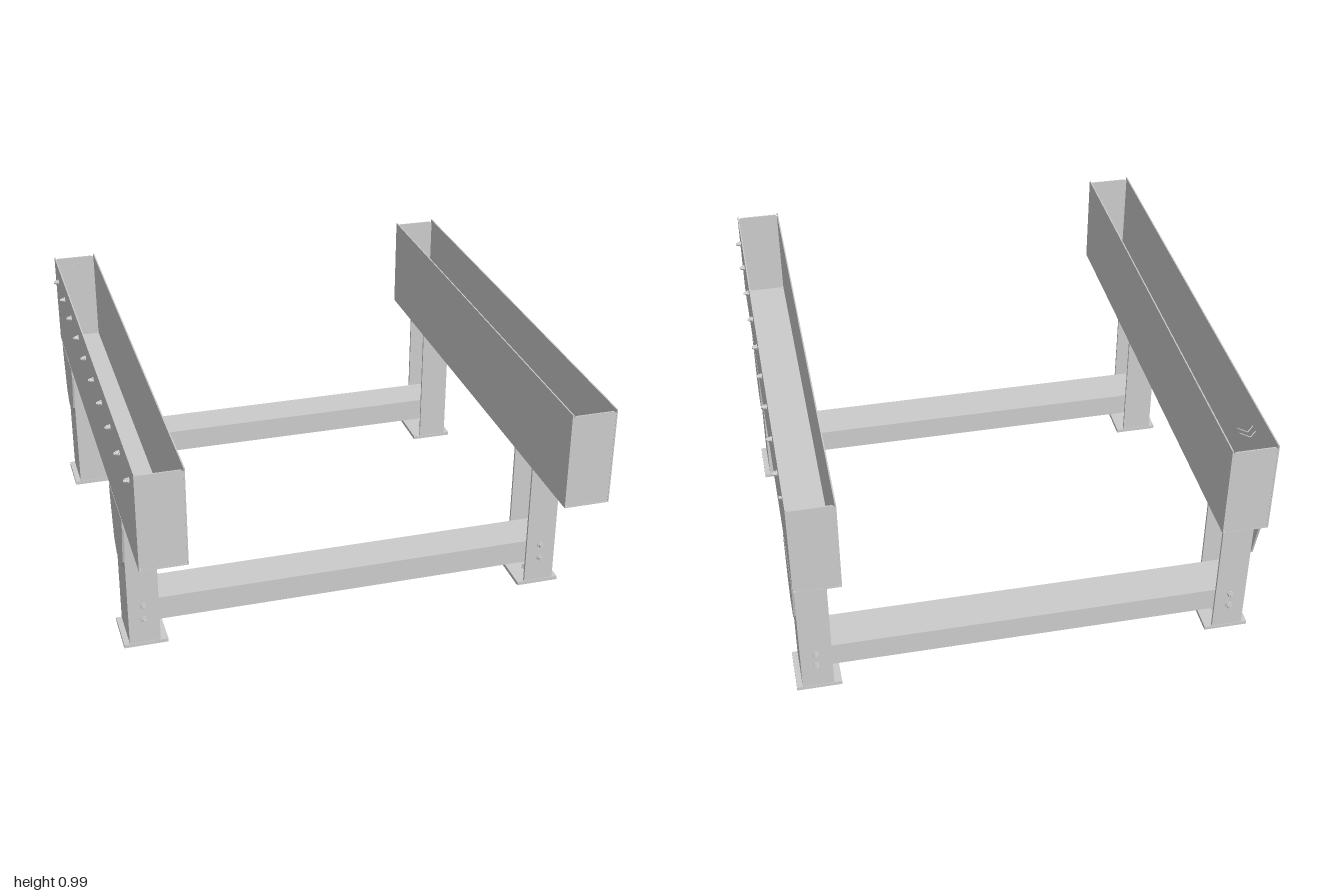
import * as THREE from 'three';

const steel = new THREE.MeshStandardMaterial({ color: 0xcccccc, flatShading: true, side: THREE.DoubleSide });

function add(parent, name, geometry, x = 0, y = 0, z = 0) {
  const mesh = new THREE.Mesh(geometry, steel);
  mesh.name = name;
  mesh.position.set(x, y, z);
  parent.add(mesh);
  return mesh;
}

// Box given by its minimum and maximum corners
function block(parent, name, [x0, y0, z0], [x1, y1, z1]) {
  return add(parent, name, new THREE.BoxGeometry(x1 - x0, y1 - y0, z1 - z0),
    (x0 + x1) / 2, (y0 + y1) / 2, (z0 + z1) / 2);
}

// Outline extruded along z, centred on z = 0
function prism(points, depth) {
  const shape = new THREE.Shape(points.map(([x, y]) => new THREE.Vector2(x, y)));
  const geometry = new THREE.ExtrudeGeometry(shape, { depth, bevelEnabled: false });
  return geometry.translate(0, 0, -depth / 2);
}

// Hex-headed bolt on a washer, pointing along +y from its seat
function bolt(parent, name, radius = 0.009) {
  const group = new THREE.Group();
  group.name = name;
  add(group, 'washer', new THREE.CylinderGeometry(radius * 1.25, radius * 1.25, 0.005, 16), 0, 0.0025, 0);
  add(group, 'boltHead', new THREE.CylinderGeometry(radius, radius, 0.01, 6), 0, 0.01, 0);
  add(group, 'boltTip', new THREE.CylinderGeometry(radius * 0.6, radius * 0.6, 0.006, 12), 0, 0.018, 0);
  parent.add(group);
  return group;
}

// Sheet metal trough, open at the top; side is +1 (left) or -1 (right)
function makeTrough(side) {
  const trough = new THREE.Group();
  trough.name = side > 0 ? 'leftTrough' : 'rightTrough';
  const w = 0.088, t = 0.005, bottom = 0.605, top = 0.992;
  const profile = [[-w, top], [-w, bottom], [w, bottom], [w, top],
    [w - t, top], [w - t, bottom + t], [-w + t, bottom + t], [-w + t, top]];
  add(trough, 'troughChannel', prism(profile, 2), side * 0.795);

  // End panels with slightly rounded corners
  const r = 0.008, hw = w - t, y0 = bottom + t, y1 = 0.985;
  const panel = [[-hw + r, y0], [hw - r, y0], [hw, y0 + r], [hw, y1 - r],
    [hw - r, y1], [-hw + r, y1], [-hw, y1 - r], [-hw, y0 + r]];
  for (const end of [-1, 1]) add(trough, 'endPanel', prism(panel, t), side * 0.795, 0, end * 0.9965);

  // Row of bolts along the outer wall
  for (let i = 0; i < (side > 0 ? 9 : 10); i++) {
    const b = bolt(trough, 'wallBolt');
    b.position.set(side * 0.883, 0.915, 0.9 - i * 0.2);
    b.rotation.z = -side * Math.PI / 2;
  }
  return trough;
}

// Leg, built for +x and a bolted flange facing +z, about z = 0
function makeLeg() {
  const leg = new THREE.Group();
  const d = 0.094, t = 0.01;
  // Channel opening towards the middle of the frame
  const profile = [[0.755, -d], [0.876, -d], [0.876, d], [0.755, d],
    [0.755, d - t], [0.876 - t, d - t], [0.876 - t, -d + t], [0.755, -d + t]];
  const channel = prism(profile, 0.585);
  channel.rotateX(-Math.PI / 2);
  add(leg, 'legChannel', channel, 0, 0.3075, 0);
  block(leg, 'topPlate', [0.76, 0.59, -d + t], [0.867, 0.6, d - t]);
  block(leg, 'footPlate', [0.725, 0, -0.096], [0.898, 0.015, 0.096]);
  bolt(leg, 'footBolt', 0.013).position.set(0.8, 0.015, 0);

  // Flared plate on the outer face
  const plate = prism([[-0.14, 0.603], [-0.14, 0.56], [-0.095, 0.39], [-0.05, 0.345],
    [0.05, 0.345], [0.095, 0.39], [0.14, 0.56], [0.14, 0.603]], 0.008);
  plate.rotateY(Math.PI / 2);
  add(leg, 'flaredPlate', plate, 0.88, 0, 0);

  for (const y of [0.12, 0.18]) {
    const b = bolt(leg, 'flangeBolt', 0.011);
    b.position.set(0.815, y, d);
    b.rotation.x = Math.PI / 2;
  }
  return leg;
}

// Lipped channel between two legs, with its slot underneath
function makeCrossbar() {
  const w = 0.082, lip = 0.03, t = 0.006, low = 0.102, high = 0.2;
  const geometry = prism([[-lip, low], [-w, low], [-w, high], [w, high], [w, low], [lip, low],
    [lip, low + t], [w - t, low + t], [w - t, high - t],
    [-w + t, high - t], [-w + t, low + t], [-lip, low + t]].reverse(), 1.73);
  return geometry.rotateY(Math.PI / 2);
}

export function createModel() {
  const model = new THREE.Group();
  model.name = 'troughStand';

  for (const side of [1, -1]) model.add(makeTrough(side));

  // Front and rear leg frames
  for (const [place, z, facing] of [['front', 0.5, 1], ['rear', -0.8, -1]]) {
    const frame = new THREE.Group();
    frame.name = place + 'Frame';
    frame.position.z = z;
    for (const side of [1, -1]) {
      const leg = makeLeg();
      leg.name = place + (side > 0 ? 'LeftLeg' : 'RightLeg');
      leg.scale.set(side, 1, facing);
      frame.add(leg);
    }
    add(frame, place + 'Crossbar', makeCrossbar());
    model.add(frame);
  }

  // Small pin near the rear of the left trough
  const pin = add(model, 'sidePin', new THREE.CylinderGeometry(0.006, 0.006, 0.012, 10), 0.888, 0.96, -0.89);
  pin.rotation.z = Math.PI / 2;

  // Pair of thin direction chevrons at the rear of the right trough
  for (const z of [-0.925, -0.895]) {
    const chevron = prism([[-0.03, 0], [0, 0.03], [0.03, 0], [0.03, -0.004], [0, 0.026], [-0.03, -0.004]].reverse(), 0.002);
    chevron.rotateX(-Math.PI / 2);
    add(model, 'directionChevron', chevron, -0.8, 0.985, z + 0.03);
  }
  return model;
}
